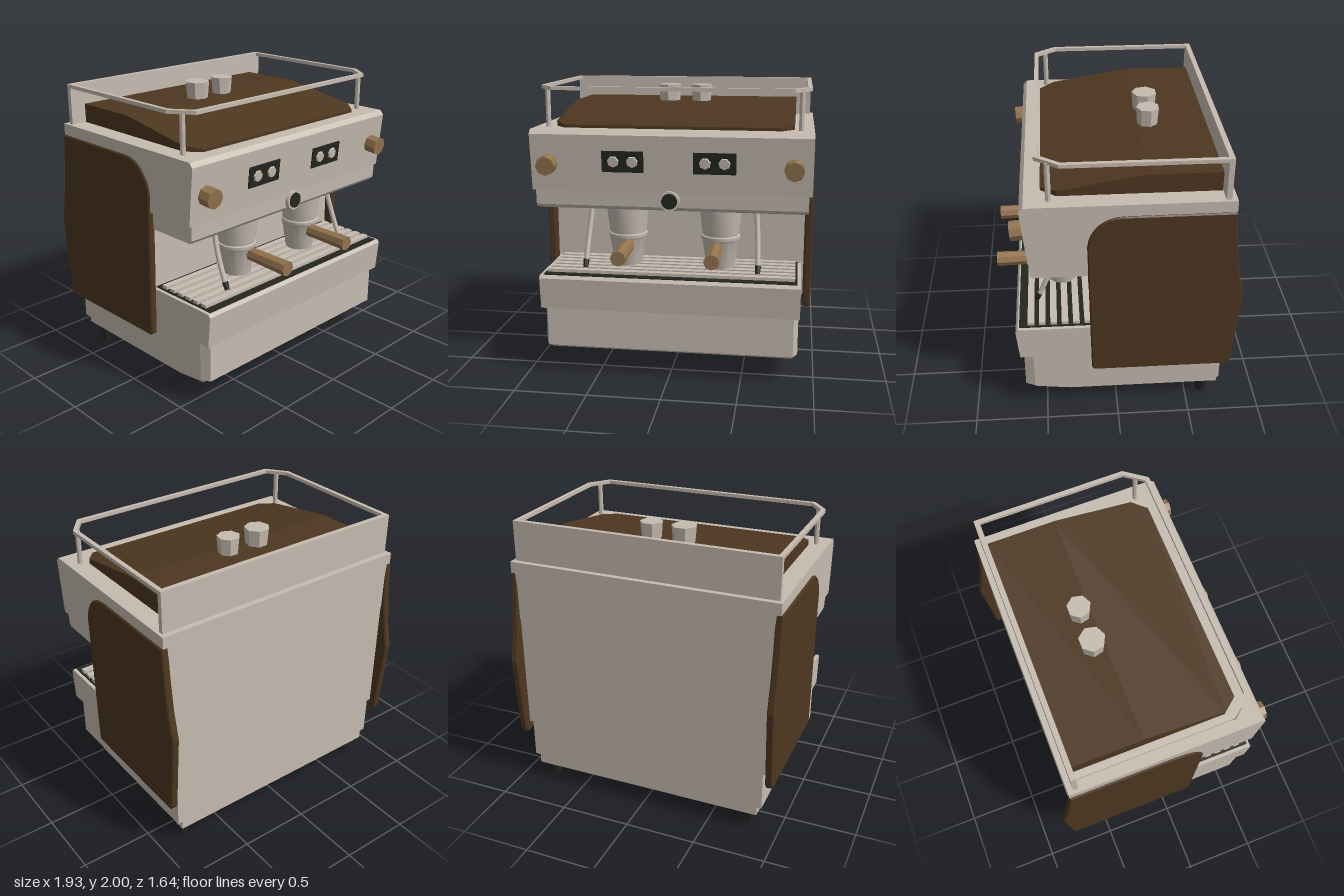
import * as THREE from 'three';
import { toCreasedNormals } from 'three/addons/utils/BufferGeometryUtils.js';

const mat = (name, color) => {
  const m = new THREE.MeshStandardMaterial({ color });
  m.name = name;
  return m;
};

export function createModel() {
  const steel = mat('warm steel', 0xc6bcb1);
  const brown = mat('dark brown panel', 0x4d3720);
  const wood = mat('light wood', 0x93734f);
  const black = mat('black', 0x24261f);
  const shade = mat('underside grey', 0x77797a);

  const model = new THREE.Group();
  model.name = 'espressoMachine';

  const add = (name, geo, material, x = 0, y = 0, z = 0, parent = model) => {
    const mesh = new THREE.Mesh(geo, material);
    mesh.name = name;
    mesh.position.set(x, y, z);
    parent.add(mesh);
    return mesh;
  };
  const box = (name, w, h, d, material, x, y, z, parent) =>
    add(name, new THREE.BoxGeometry(w, h, d), material, x, y, z, parent);
  const shapeOf = (pts) => new THREE.Shape(pts.map(([a, b]) => new THREE.Vector2(a, b)));
  // Side profile of [z, y] points, swept across x
  const sweepX = (shape, width, bevel = 0) =>
    new THREE.ExtrudeGeometry(shape, {
      depth: width - 2 * bevel, bevelEnabled: bevel > 0, bevelSize: bevel,
      bevelThickness: bevel, bevelOffset: -bevel, bevelSegments: 1, curveSegments: 8,
    }).translate(0, 0, -width / 2 + bevel).rotateY(-Math.PI / 2);
  // Plan of [x, z] points, raised from y0 to y1
  const raiseY = (pts, y0, y1) =>
    new THREE.ExtrudeGeometry(shapeOf(pts), { depth: y1 - y0, bevelEnabled: false })
      .rotateX(Math.PI / 2).translate(0, y1, 0);
  const round = (rTop, rBottom, h, sides) =>
    toCreasedNormals(new THREE.CylinderGeometry(rTop, rBottom, h, sides), 0.6);
  const roundZ = (rFront, rBack, h, sides) => round(rFront, rBack, h, sides).rotateX(Math.PI / 2);

  // Floor pan with an upswept front edge
  add('floorPan', sweepX(shapeOf([[-0.72, 0.13], [0.33, 0.13], [0.57, 0.16], [0.6, 0.205], [-0.72, 0.205]]), 1.7), steel);

  // Lower base with chamfered front corners
  add('base', raiseY([[-0.885, -0.725], [0.885, -0.725], [0.885, 0.58], [0.855, 0.645], [-0.855, 0.645], [-0.885, 0.58]], 0.2, 0.48), steel);

  // Drip tray
  add('dripTray', sweepX(shapeOf([[-0.7, 0.48], [0.67, 0.48], [0.69, 0.7], [0.675, 0.72], [-0.7, 0.72]]), 1.79), steel);
  box('trayWell', 1.74, 0.008, 0.54, black, 0, 0.722, 0.395);
  for (let i = 0; i < 6; i++) {
    box('grateSlat', 1.71, 0.022, 0.045, steel, 0, 0.737, 0.2 + i * 0.077);
  }

  // Rear column and overhanging head
  box('column', 1.82, 1.24, 0.86, steel, 0, 1.1, -0.3);
  add('head', sweepX(shapeOf([[-0.73, 1.3], [0.575, 1.3], [0.612, 1.69], [0.585, 1.72], [-0.73, 1.72]]), 1.905), steel);
  add('headSkirt', sweepX(shapeOf([[-0.7, 1.18], [0.55, 1.18], [0.567, 1.2], [0.572, 1.3], [-0.7, 1.3]]), 1.86), steel);
  box('headUnderside', 1.82, 0.006, 0.41, shade, 0, 1.178, 0.34);

  // Brown side panels, kinked at the rear
  const panel = new THREE.Shape();
  panel.moveTo(0.15, 0.4);
  panel.quadraticCurveTo(0.18, 0.4, 0.18, 0.44);
  panel.lineTo(0.2, 1.42);
  panel.bezierCurveTo(0.19, 1.55, 0.1, 1.64, -0.04, 1.64);
  panel.lineTo(-0.73, 1.64);
  panel.lineTo(-0.75, 1.4);
  panel.lineTo(-0.775, 1.2);
  panel.lineTo(-0.818, 1.0);
  panel.lineTo(-0.775, 0.44);
  panel.quadraticCurveTo(-0.77, 0.4, -0.74, 0.4);
  for (const s of [-1, 1]) add('sidePanel', sweepX(panel, 0.05, 0.008), brown, s * 0.94, 0, 0);

  // Sloping brown lid, front corners cut off
  const lid = raiseY([[-0.82, -0.655], [0.82, -0.655], [0.82, -0.18], [0.82, 0.38], [0.74, 0.48],
    [-0.74, 0.48], [-0.82, 0.38], [-0.82, -0.18]], 1.715, 1.85);
  const p = lid.attributes.position;
  for (let i = 0; i < p.count; i++) {
    if (p.getY(i) > 1.8) p.setY(i, 1.85 - 0.11 * Math.max(0, (p.getZ(i) + 0.18) / 0.66));
  }
  // Two flat top pieces replace the cap so the crease stays straight
  const slope = (z) => 1.851 - 0.11 * Math.max(0, (z + 0.18) / 0.66);
  const strip = (pts) => {
    const g = new THREE.ShapeGeometry(shapeOf(pts.map(([x, z]) => [x, -z]))).rotateX(-Math.PI / 2);
    const q = g.attributes.position;
    for (let i = 0; i < q.count; i++) q.setY(i, slope(q.getZ(i)));
    g.computeVertexNormals();
    return g;
  };
  lid.computeVertexNormals();
  add('lidBody', lid, brown);
  add('lidRearTop', strip([[-0.82, -0.18], [0.82, -0.18], [0.82, -0.655], [-0.82, -0.655]]), brown);
  add('lidFrontTop', strip([[-0.82, 0.38], [-0.74, 0.48], [0.74, 0.48], [0.82, 0.38], [0.82, -0.18], [-0.82, -0.18]]), brown);

  // Cup rail: back plate, open loop and posts
  box('railBackPlate', 1.86, 0.29, 0.035, steel, 0, 1.855, -0.675);
  add('cupRail', raiseY([
    [-0.93, -0.67], [-0.93, 0.36], [-0.82, 0.51], [0.82, 0.51], [0.93, 0.36], [0.93, -0.67],
    [0.9, -0.67], [0.9, 0.35], [0.805, 0.48], [-0.805, 0.48], [-0.9, 0.35], [-0.9, -0.67],
  ], 1.975, 2.0), steel);
  for (const s of [-1, 1]) {
    add('railPost', round(0.018, 0.018, 0.27, 8), steel, s * 0.865, 1.85, 0.43);
  }

  // Cups on the lid
  add('cup', round(0.088, 0.078, 0.12, 7), steel, -0.125, 1.91, -0.255);
  add('cup', round(0.08, 0.07, 0.12, 7), steel, 0.115, 1.91, -0.255);

  // Controls lie on the tilted head front
  const controls = new THREE.Group();
  controls.name = 'controls';
  controls.position.set(0, 1.5, 0.594);
  controls.rotation.x = 0.093;
  model.add(controls);
  for (const s of [-1, 1]) {
    add('knob', roundZ(0.066, 0.066, 0.09, 8), wood, s * 0.83, -0.01, 0.042, controls);
    box('display', 0.285, 0.145, 0.008, black, s * 0.31 - 0.005, 0.012, 0.004, controls);
    for (const d of [-0.065, 0.065]) {
      add('button', roundZ(0.036, 0.042, 0.012, 7), steel, s * 0.31 - 0.005 + d, 0.012, 0.012, controls);
    }
  }

  // Pressure gauge on the skirt
  add('gaugeRing', roundZ(0.068, 0.072, 0.04, 14), steel, 0, 1.248, 0.575);
  add('gaugeFace', roundZ(0.054, 0.054, 0.008, 14), black, 0, 1.248, 0.597);

  // Brew groups with wooden handles
  const profile = [[0, 0.75], [0.1, 0.75], [0.13, 0.94], [0.137, 0.95], [0.137, 0.975], [0.128, 0.98], [0.153, 1.185]]
    .map(([r, y]) => new THREE.Vector2(r, y));
  const brew = toCreasedNormals(new THREE.LatheGeometry(profile, 14), 0.6);
  for (const s of [-1, 1]) {
    add('brewGroup', brew, steel, s * 0.33, 0, 0.36);
    const handle = add('handle', roundZ(0.053, 0.047, 0.34, 8), wood, s * 0.31, 0.903, 0.65);
    handle.rotation.x = 0.02;
  }

  // Steam wands with black tips
  for (const s of [-1, 1]) {
    const curve = new THREE.CatmullRomCurve3([
      new THREE.Vector3(s * 0.575, 1.19, 0.39), new THREE.Vector3(s * 0.585, 1.08, 0.415),
      new THREE.Vector3(s * 0.595, 0.93, 0.465), new THREE.Vector3(s * 0.6, 0.79, 0.525),
    ]);
    add('steamWand', new THREE.TubeGeometry(curve, 10, 0.018, 8), steel);
    const tip = add('wandTip', round(0.021, 0.017, 0.055, 8), black, s * 0.6, 0.777, 0.532);
    tip.rotation.x = -0.4;
  }

  // Tapered rear feet
  for (const s of [-1, 1]) {
    add('foot', round(0.052, 0.035, 0.135, 8), black, s * 0.78, 0.0675, -0.62);
  }

  return model;
}
